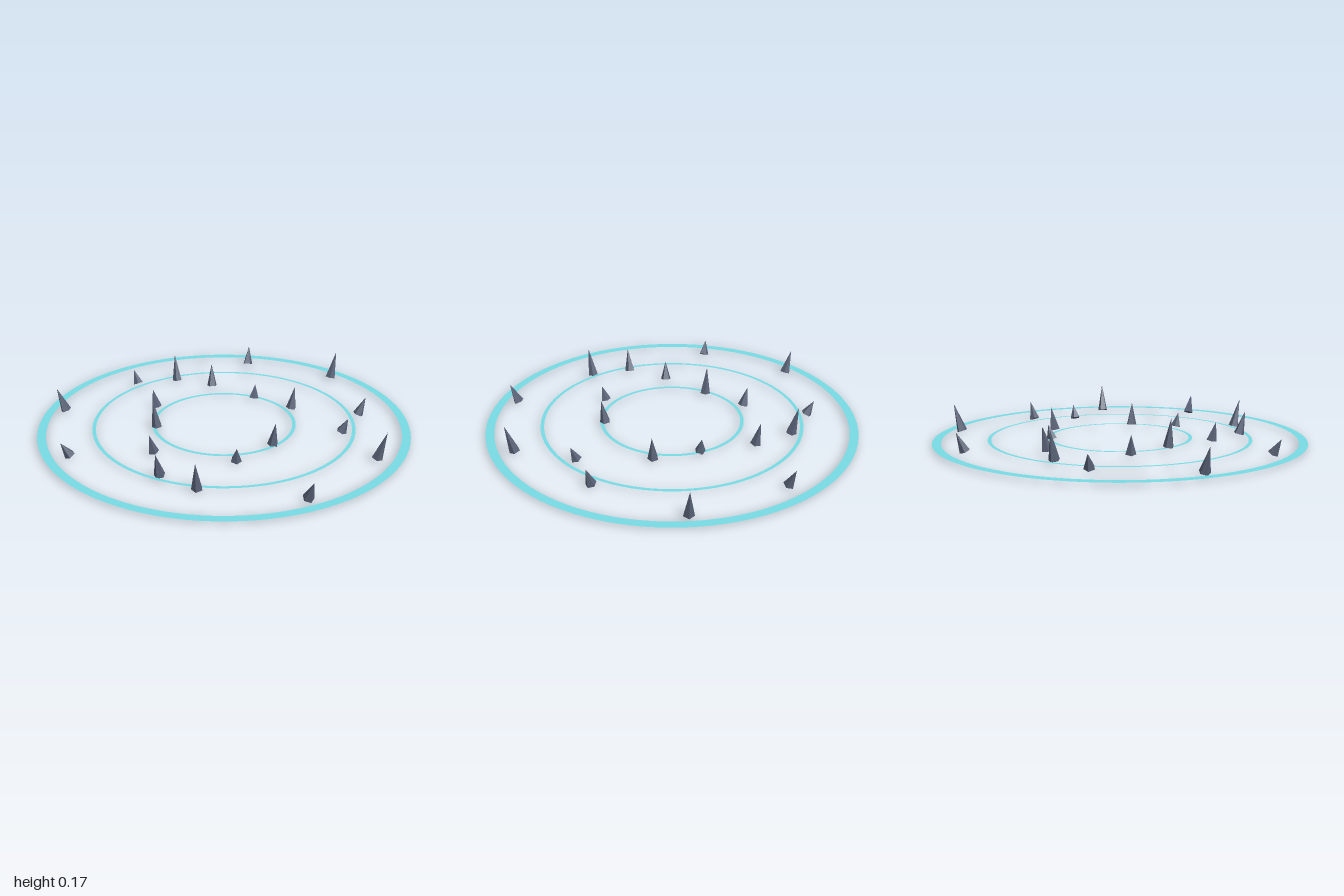
import * as THREE from 'three';

export function createModel() {
  const model = new THREE.Group();
  model.name = 'spikedRings';

  const teal = new THREE.MeshStandardMaterial({ color: 0x78dce6, side: THREE.DoubleSide });
  teal.name = 'teal';
  const slate = new THREE.MeshStandardMaterial({ color: 0x5a6478, flatShading: true });
  slate.name = 'slate';

  // Rings and spike bases share one level; the leaning base corners reach the ground
  const baseY = 0.016;

  // Flat concentric rings: name, inner radius, outer radius
  const rings = [['outerRing', 0.954, 1], ['middleRing', 0.692, 0.711], ['innerRing', 0.371, 0.39]];
  for (const [name, inner, outer] of rings) {
    const ring = new THREE.Mesh(new THREE.RingGeometry(inner, outer, 96).rotateX(-Math.PI / 2), teal);
    ring.name = name;
    ring.position.y = baseY;
    model.add(ring);
  }

  // Five-sided spikes: base x, base z, tip height
  const spikes = [
    [0, -0.86, 0.115], [0.528, -0.731, 0.168], [0.715, -0.234, 0.115], [0.636, 0, 0.092],
    [0.829, 0.268, 0.168], [0.34, -0.249, 0.142], [0.112, -0.351, 0.092], [-0.157, -0.482, 0.142],
    [-0.379, -0.526, 0.168], [-0.6, -0.437, 0.092], [-0.411, -0.135, 0.117], [-0.347, 0.112, 0.168],
    [0.294, 0.212, 0.142], [0.136, 0.418, 0.092], [-0.294, 0.398, 0.117], [-0.205, 0.629, 0.142],
    [0, 0.725, 0.168], [0.524, 0.72, 0.117], [-0.702, 0.508, 0.092], [-0.899, 0, 0.142],
  ];
  for (const [x, z, tipY] of spikes) {
    // The tip leans outward in proportion to the distance from the centre
    const reach = 0.05 * Math.hypot(x, z);
    const rise = tipY - baseY;
    const length = Math.hypot(reach, rise);
    const spike = new THREE.Mesh(
      new THREE.ConeGeometry(0.029, length, 5).translate(0, length / 2, 0), slate);
    spike.name = 'spike';
    spike.position.set(x, baseY, z);
    spike.rotation.set(Math.atan2(reach, rise), Math.atan2(x, z), 0, 'YXZ');
    model.add(spike);
  }
  return model;
}
